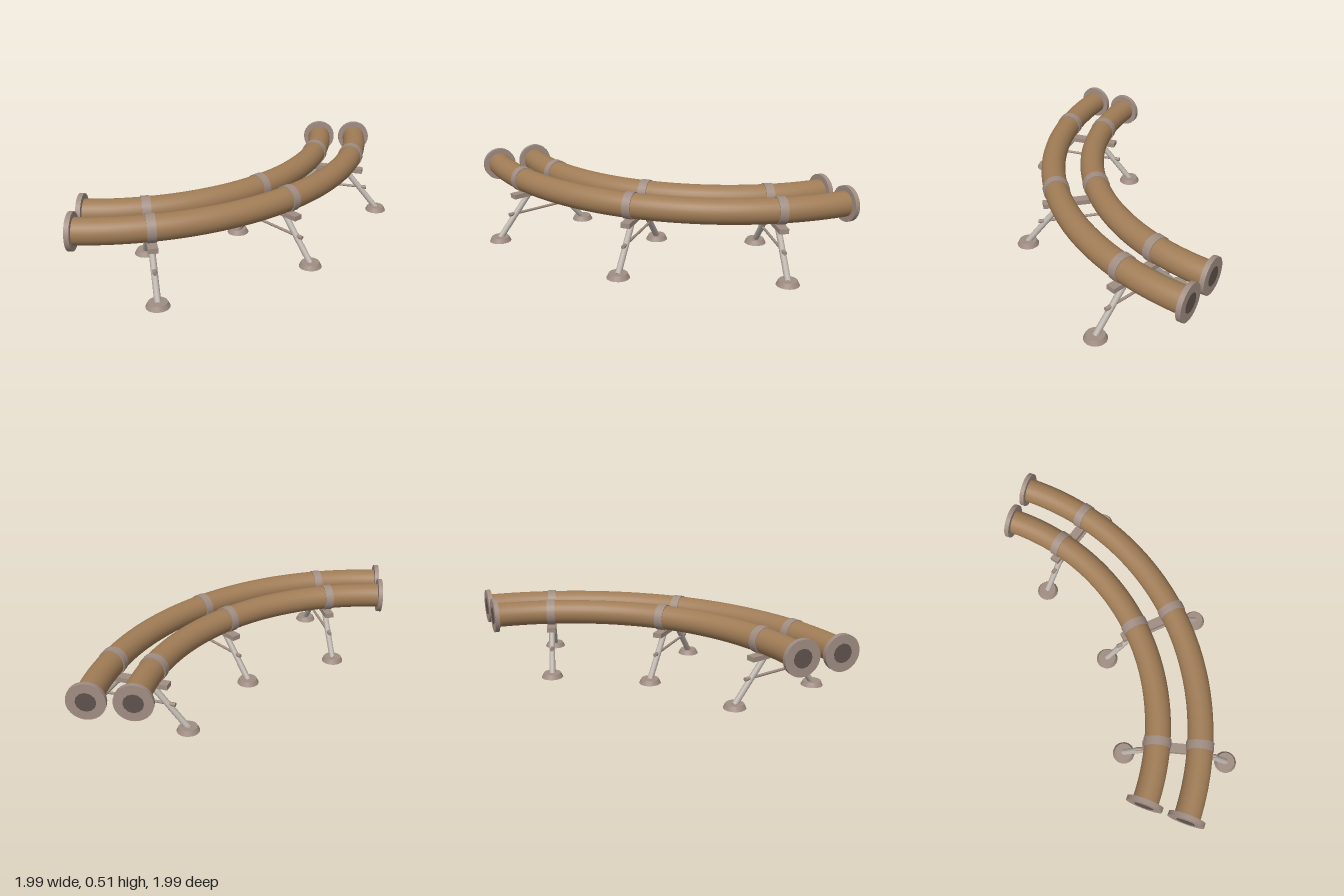
import * as THREE from 'three';

const paint = (name, color) => {
  const m = new THREE.MeshStandardMaterial({ color });
  m.name = name;
  return m;
};

export function createModel() {
  const rust = paint('pipe brown', 0xa07c56);
  const clay = paint('fitting grey brown', 0xa08d82);
  const steel = paint('leg pale grey', 0xbab2aa);
  const dark = paint('bore dark', 0x5f524c);

  const model = new THREE.Group();
  model.name = 'pipeline';
  const PIPE_Y = 0.4, RADII = [1.515, 1.78], MID = 1.6475;

  const add = (parent, name, geometry, material, x = 0, y = 0, z = 0) => {
    const mesh = new THREE.Mesh(geometry, material);
    mesh.name = name;
    mesh.position.set(x, y, z);
    parent.add(mesh);
    return mesh;
  };

  // Cylinder between two points
  const rod = (parent, name, a, b, r, material) => {
    const d = b.clone().sub(a);
    const mesh = add(parent, name, new THREE.CylinderGeometry(r, r, d.length(), 12), material);
    mesh.position.copy(a).add(b).multiplyScalar(0.5);
    mesh.quaternion.setFromUnitVectors(new THREE.Vector3(0, 1, 0), d.normalize());
  };

  // Group pivoting on the bend centre, local +x pointing outward
  const spoke = (name, degrees) => {
    const g = new THREE.Group();
    g.name = name;
    g.position.set(-1, 0, -1);
    g.rotation.y = -THREE.MathUtils.degToRad(degrees);
    model.add(g);
    return g;
  };

  // Curved pipes
  for (const R of RADII) {
    const bend = new THREE.TorusGeometry(R, 0.081, 28, 64, Math.PI / 2).rotateX(Math.PI / 2);
    add(model, 'pipe', bend, rust, -1, PIPE_Y, -1);
  }

  // End flanges with dark bores
  for (const [degrees, out] of [[0, -1], [90, 1]]) {
    const end = spoke('pipeEnd', degrees);
    for (const R of RADII) {
      const flange = new THREE.CylinderGeometry(0.115, 0.115, 0.03, 28).rotateX(Math.PI / 2);
      add(end, 'flange', flange, clay, R, PIPE_Y, -out * 0.015);
      const bore = new THREE.CylinderGeometry(0.06, 0.06, 0.004, 12).rotateX(Math.PI / 2);
      add(end, 'bore', bore, dark, R, PIPE_Y, 0);
    }
  }

  // Trestle supports
  for (const degrees of [15, 45, 75]) {
    const support = spoke('support', degrees);
    add(support, 'beam', new THREE.BoxGeometry(0.45, 0.032, 0.06), clay, MID, 0.295, 0);

    for (const R of RADII) {
      const strap = new THREE.CylinderGeometry(0.087, 0.087, 0.055, 28).rotateX(Math.PI / 2);
      add(support, 'strap', strap, clay, R, PIPE_Y, 0);
    }

    const at = (offset, y) => new THREE.Vector3(MID + offset, y, 0);
    rod(support, 'crossBrace', at(-0.26, 0.168), at(0.26, 0.168), 0.009, clay);
    for (const s of [-1, 1]) {
      rod(support, 'leg', at(s * 0.1, 0.29), at(s * 0.34, 0.02), 0.02, steel);
      rod(support, 'braceEnd', at(s * 0.225, 0.168), at(s * 0.262, 0.168), 0.013, clay);
      add(support, 'foot', new THREE.CylinderGeometry(0.058, 0.073, 0.03, 18), clay, MID + s * 0.34, 0.015, 0);
    }
  }
  return model;
}
